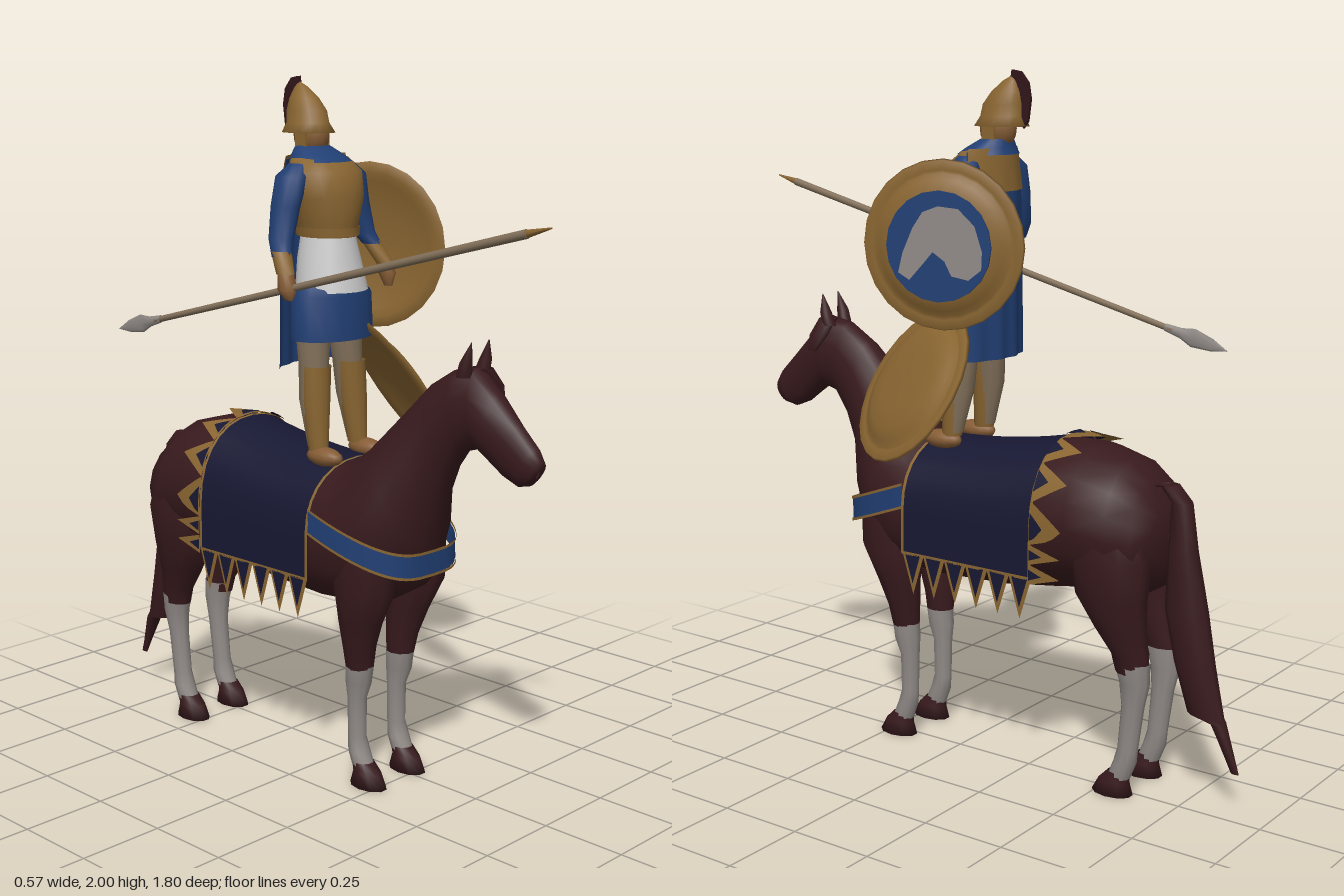
import * as THREE from 'three';

const mat = (name, color) => Object.assign(new THREE.MeshStandardMaterial({ color, side: THREE.DoubleSide }), { name });
const coat = mat('chestnut coat', 0x381a1d), gold = mat('bronze', 0x896531), blue = mat('blue cloth', 0x213f74);
const navy = mat('navy cloth', 0x171832), white = mat('white linen', 0xc8c8c8), sock = mat('pale grey', 0x908a86);
const skin = mat('skin', 0x855c35), wood = mat('spear wood', 0x82705a), crestRed = mat('crest red', 0x321619);
const V = (x, y, z) => new THREE.Vector3(x, y, z);
const CX = -0.06; // centre line of horse and rider

export function createModel() {
  const root = new THREE.Group();
  root.name = 'mountedSpearman';
  const add = (name, geo, material, parent = root) => {
    const m = new THREE.Mesh(geo, material);
    m.name = name;
    parent.add(m);
    return m;
  };

  // surface from a rule fn(u, v), optionally closed in u
  function grid(fn, nu, nv, closed = false) {
    const pos = [], idx = [], w = closed ? nu : nu + 1;
    for (let j = 0; j <= nv; j++) for (let i = 0; i < w; i++) pos.push(...fn(i / nu, j / nv, j).toArray());
    for (let j = 0; j < nv; j++) for (let i = 0; i < nu; i++) {
      const a = j * w + i, b = j * w + (i + 1) % w;
      idx.push(a, b, a + w, b, b + w, a + w);
    }
    const g = new THREE.BufferGeometry();
    g.setAttribute('position', new THREE.Float32BufferAttribute(pos, 3));
    g.setIndex(idx);
    g.computeVertexNormals();
    return g;
  }
  // loft over elliptical rings {c, a, b}
  const loft = (rings, n = 14) => grid((u, v, j) => {
    const r = rings[j], t = u * Math.PI * 2;
    return r.c.clone().addScaledVector(r.a, Math.cos(t)).addScaledVector(r.b, Math.sin(t));
  }, n, rings.length - 1, true);
  // horizontal rings [x, y, z, rx, rz]
  const limb = (rows, n = 10) => loft(rows.map(([x, y, z, rx, rz]) => ({ c: V(x, y, z), a: V(rx, 0, 0), b: V(0, 0, rz) })), n);

  // horse trunk, neck and head: [top z, top y, bottom z, bottom y, half width]
  const stations = [
    [-0.67, 0.76, -0.67, 0.74, 0.01], [-0.665, 0.82, -0.67, 0.68, 0.1], [-0.63, 0.9, -0.65, 0.6, 0.165],
    [-0.56, 0.955, -0.58, 0.56, 0.195], [-0.45, 0.985, -0.45, 0.57, 0.205], [-0.33, 0.985, -0.33, 0.55, 0.2],
    [-0.15, 0.945, -0.15, 0.525, 0.2], [0, 0.92, 0.05, 0.515, 0.2], [0.1, 0.93, 0.2, 0.525, 0.193],
    [0.17, 0.98, 0.33, 0.6, 0.175], [0.23, 1.04, 0.38, 0.72, 0.14], [0.3, 1.11, 0.405, 0.85, 0.098],
    [0.38, 1.19, 0.45, 0.95, 0.075], [0.46, 1.24, 0.5, 1.02, 0.064], [0.54, 1.255, 0.55, 1.035, 0.064],
    [0.61, 1.19, 0.585, 1.01, 0.056], [0.68, 1.12, 0.63, 0.975, 0.04], [0.735, 1.065, 0.68, 0.955, 0.037],
    [0.755, 1.03, 0.715, 0.962, 0.03], [0.745, 1.005, 0.735, 0.985, 0.005]];
  add('horseBody', loft(stations.map(([zt, yt, zb, yb, w]) => ({
    c: V(CX, (yt + yb) / 2, (zt + zb) / 2), a: V(w, 0, 0), b: V(0, (yt - yb) / 2, (zt - zb) / 2),
  })), 18), coat);
  // forelock falling to one side
  add('forelock', limb([[CX + 0.02, 1.25, 0.53, 0.03, 0.03], [CX + 0.058, 1.2, 0.54, 0.02, 0.035], [CX + 0.066, 1.15, 0.56, 0.008, 0.015]], 8), coat);

  for (const s of [-1, 1]) {
    const leg = rows => limb(rows.map(([o, y, z, rx, rz]) => [CX + s * o, y, z, rx, rz]));
    // ears
    add('ear', leg([[0.036, 1.23, 0.515, 0.02, 0.024], [0.04, 1.27, 0.525, 0.018, 0.018], [0.036, 1.325, 0.54, 0.001, 0.001]]), coat);
    // legs
    add('frontLeg', leg([[0.1, 0.74, 0.22, 0.07, 0.11], [0.105, 0.6, 0.22, 0.075, 0.1], [0.098, 0.5, 0.2, 0.06, 0.07],
      [0.09, 0.42, 0.188, 0.047, 0.052], [0.085, 0.35, 0.184, 0.038, 0.043]]), coat);
    add('frontSock', leg([[0.085, 0.36, 0.184, 0.039, 0.045], [0.085, 0.31, 0.18, 0.036, 0.042], [0.083, 0.26, 0.172, 0.027, 0.031],
      [0.083, 0.14, 0.172, 0.026, 0.028], [0.083, 0.1, 0.18, 0.032, 0.032], [0.083, 0.05, 0.2, 0.03, 0.034]]), sock);
    add('hindLeg', leg([[0.1, 0.82, -0.53, 0.08, 0.11], [0.112, 0.7, -0.545, 0.088, 0.125], [0.108, 0.58, -0.55, 0.075, 0.107],
      [0.098, 0.49, -0.575, 0.056, 0.078], [0.09, 0.42, -0.603, 0.043, 0.056], [0.088, 0.37, -0.61, 0.037, 0.05]]), coat);
    add('hindSock', leg([[0.088, 0.4, -0.608, 0.041, 0.055], [0.086, 0.34, -0.617, 0.035, 0.045], [0.083, 0.27, -0.612, 0.028, 0.034],
      [0.083, 0.14, -0.598, 0.027, 0.03], [0.083, 0.1, -0.59, 0.032, 0.034], [0.083, 0.05, -0.57, 0.03, 0.034]]), sock);
    for (const z of [0.212, -0.555])
      add('hoof', leg([[0.083, 0.07, z - 0.016, 0.03, 0.032], [0.083, 0.04, z, 0.036, 0.046], [0.083, 0, z + 0.005, 0.041, 0.063], [0.083, 0, z, 0.001, 0.001]]), coat);
  }
  // tail
  add('tail', limb([[CX, 0.885, -0.6, 0.025, 0.03], [CX, 0.895, -0.665, 0.028, 0.03], [CX, 0.85, -0.705, 0.032, 0.03],
    [CX, 0.72, -0.712, 0.036, 0.043], [CX, 0.55, -0.727, 0.042, 0.065], [CX, 0.4, -0.757, 0.038, 0.062],
    [CX, 0.26, -0.795, 0.03, 0.055], [CX, 0.245, -0.835, 0.025, 0.022], [CX, 0.11, -0.89, 0.004, 0.012]]), coat);

  // saddle blanket draped over the back; s runs over the width, z along the horse
  const drape = (s, z, off = 0) => {
    const k = THREE.MathUtils.clamp((0.1 - z) / 0.45, 0, 1), top = 0.938 + 0.057 * k * k + off;
    const t = Math.min(Math.abs(s) / 0.6, 1), d = Math.max(0, (Math.abs(s) - 0.6) / 0.4), w = 0.21 + off;
    const a = t * Math.PI / 2;
    return V(CX + Math.sign(s) * w * Math.sin(a) ** 0.9, 0.74 + (top - 0.74) * Math.max(Math.cos(a), 0) ** 0.85 - 0.12 * d, z);
  };
  const patch = (s0, s1, z0, z1, off) => grid((u, v) => drape(s0 + (s1 - s0) * u, z0 + (z1 - z0) * v, off), 24, 8);
  add('blanket', patch(-1, 1, 0.1, -0.35, 0), navy);
  add('blanketFrontTrim', patch(-1, 1, 0.102, 0.092, 0.003), gold);
  add('blanketRearTrim', patch(-1, 1, -0.343, -0.352, 0.003), gold);
  const spike = (s, z, ds, dz, ts, tz, off) => grid((u, v) => {
    const k = (u * 2 - 1) * (1 - v);
    return drape(s + ds * k + ts * v, z + dz * k + tz * v, off);
  }, 2, 4);
  for (const side of [-1, 1]) {
    add('blanketSideTrim', patch(side * 0.98, side * 1.01, 0.1, -0.35, 0.003), gold);
    for (let i = 0; i < 6; i++) {
      const z = 0.06 - i * 0.075;
      add('sideFringe', spike(side, z, 0, 0.038, side * 0.4, 0, 0), gold);
      for (const off of [-0.003, 0.003])
        add('sideFringeInset', spike(side, z, 0, 0.027, side * 0.29, 0, off), navy);
    }
  }
  for (let i = -5; i <= 5; i++) {
    add('rearFringe', spike(i * 0.19, -0.35, 0.095, 0, 0, -0.1, 0.006), gold);
    for (const off of [0.002, 0.01])
      add('rearFringeInset', spike(i * 0.19, -0.35, 0.052, 0, 0, -0.042, off), navy);
  }

  // breast strap with metal edges
  const strap = (y0, y1, off) => grid((u, v) => {
    const t = (u - 0.5) * Math.PI, s = Math.sin(t), c = Math.cos(t);
    return V(CX + Math.sign(s) * (0.208 + off) * Math.abs(s) ** 0.6, 0.685 + 0.105 * (1 - c) + y0 + (y1 - y0) * v, 0.1 + (0.282 + off) * c);
  }, 32, 1);
  add('breastStrap', strap(-0.032, 0.032, 0), blue);
  add('strapLowerEdge', strap(-0.038, -0.03, 0.003), gold);
  add('strapUpperEdge', strap(0.03, 0.038, 0.003), gold);

  // rider
  const rider = new THREE.Group();
  rider.name = 'rider';
  root.add(rider);
  const put = (name, rows, m, n = 16) => add(name, limb(rows, n), m, rider);
  put('skirt', [[CX, 1.43, -0.02, 0.11, 0.085], [CX, 1.4, -0.012, 0.134, 0.095], [CX, 1.275, -0.008, 0.139, 0.095]], blue);
  put('tunic', [[CX, 1.58, -0.025, 0.068, 0.08], [CX, 1.5, -0.02, 0.088, 0.092], [CX, 1.41, -0.01, 0.107, 0.1]], white);
  put('breastplate', [[CX, 1.56, -0.025, 0.078, 0.085], [CX, 1.6, -0.025, 0.087, 0.09], [CX, 1.67, -0.025, 0.11, 0.095],
    [CX, 1.74, -0.035, 0.12, 0.088], [CX, 1.775, -0.055, 0.1, 0.06], [CX, 1.79, -0.07, 0.04, 0.04]], gold);
  put('belt', [[CX, 1.587, -0.025, 0.09, 0.094], [CX, 1.563, -0.025, 0.086, 0.094]], gold);
  put('scarf', [[CX, 1.81, -0.085, 0.05, 0.045], [CX, 1.785, -0.065, 0.08, 0.068], [CX, 1.767, -0.055, 0.095, 0.085]], blue);
  put('neck', [[CX, 1.84, -0.085, 0.033, 0.035], [CX, 1.76, -0.07, 0.036, 0.038]], skin);
  const face = add('face', new THREE.SphereGeometry(1, 14, 10), skin, rider);
  face.scale.set(0.045, 0.062, 0.056);
  face.position.set(CX, 1.838, -0.088);

  // helmet, cheek guards and crest
  put('helmet', [[CX, 1.858, -0.103, 0.05, 0.066], [CX, 1.845, -0.1, 0.068, 0.083], [CX, 1.872, -0.103, 0.053, 0.068], [CX, 1.905, -0.107, 0.05, 0.064],
    [CX, 1.94, -0.117, 0.036, 0.047], [CX, 1.97, -0.128, 0.016, 0.022], [CX, 1.985, -0.135, 0.001, 0.001]], gold);
  for (const s of [-1, 1]) {
    const guard = add('cheekGuard', new THREE.BoxGeometry(0.008, 0.06, 0.04), gold, rider);
    guard.position.set(CX + s * 0.044, 1.825, -0.085);
  }
  const crest = new THREE.Shape([[0.13, 1.965], [0.135, 2], [0.165, 1.995], [0.19, 1.965], [0.198, 1.92], [0.19, 1.86], [0.175, 1.84], [0.165, 1.87]]
    .map(([x, y]) => new THREE.Vector2(x, y)));
  const crestMesh = add('crest', new THREE.ExtrudeGeometry(crest, { depth: 0.01, bevelEnabled: false }), crestRed, rider);
  crestMesh.rotation.y = Math.PI / 2;
  crestMesh.position.x = CX - 0.005;

  // cape with a shoulder plate
  const cape = (y0, y1, off) => grid((u, v) => {
    const k = u * 2 - 1, y = y0 + (y1 - y0) * v, d = (1.785 - y) / 0.595;
    return V(CX + k * (0.118 + 0.027 * Math.sqrt(d)), y, -0.115 - 0.012 * Math.min(d * 5, 1) + 0.05 * k * k + 0.004 * Math.cos(k * 12) * d - off);
  }, 24, 8);
  add('cape', cape(1.775, 1.19, 0), blue, rider);
  add('shoulderPlate', cape(1.785, 1.665, 0.005), gold, rider);

  // arms, bracers and hands
  put('rightArm', [[-0.15, 1.765, -0.05, 0.02, 0.03], [-0.175, 1.73, -0.05, 0.04, 0.052], [-0.195, 1.65, -0.055, 0.038, 0.046],
    [-0.218, 1.56, -0.05, 0.034, 0.038], [-0.235, 1.515, -0.03, 0.027, 0.031]], blue, 12);
  put('rightBracer', [[-0.232, 1.53, -0.035, 0.028, 0.031], [-0.248, 1.47, -0.002, 0.024, 0.028]], gold, 10);
  put('rightHand', [[-0.248, 1.475, -0.002, 0.021, 0.025], [-0.255, 1.43, 0.012, 0.026, 0.03], [-0.252, 1.4, 0.015, 0.01, 0.015]], skin, 10);
  put('leftArm', [[0.03, 1.765, -0.05, 0.02, 0.03], [0.055, 1.73, -0.05, 0.04, 0.052], [0.08, 1.65, -0.055, 0.038, 0.046],
    [0.105, 1.56, -0.045, 0.032, 0.038], [0.115, 1.525, -0.02, 0.026, 0.031]], blue, 12);
  put('leftBracer', [[0.114, 1.535, -0.025, 0.026, 0.03], [0.13, 1.47, 0.018, 0.024, 0.027]], gold, 10);
  put('leftHand', [[0.129, 1.475, 0.015, 0.021, 0.024], [0.132, 1.44, 0.027, 0.024, 0.028], [0.132, 1.405, 0.03, 0.01, 0.014]], skin, 10);

  // legs, with greaves in front of the calves, and boots
  for (const s of [-1, 1]) {
    const x = o => CX + s * o;
    put('leg', [[x(0.06), 1.36, -0.025, 0.056, 0.058], [x(0.068), 1.2, -0.015, 0.042, 0.046], [x(0.075), 1.1, -0.012, 0.038, 0.042], [x(0.08), 0.97, 0.008, 0.025, 0.028]], wood, 12);
    put('greave', [[x(0.07), 1.2, 0, 0.042, 0.042], [x(0.075), 1.1, 0.002, 0.041, 0.041], [x(0.08), 0.96, 0.015, 0.028, 0.03]], gold, 12);
    const boot = add('boot', new THREE.SphereGeometry(1, 12, 8), skin, rider);
    boot.scale.set(0.033, 0.028, 0.065);
    boot.position.set(x(0.085), 0.945, 0.045);
  }

  // spear along its own +y, head first
  const butt = V(-0.235, 1.66, 0.9), tip = V(-0.262, 1.24, -0.72), dir = tip.clone().sub(butt), len = dir.length();
  const spear = new THREE.Group();
  spear.name = 'spear';
  spear.position.copy(butt);
  spear.quaternion.setFromUnitVectors(V(0, 1, 0), dir.normalize());
  root.add(spear);
  add('shaft', new THREE.CylinderGeometry(0.009, 0.012, len - 0.25, 8), wood, spear).position.y = (len - 0.1) / 2;
  add('buttSpike', new THREE.CylinderGeometry(0.011, 0.002, 0.08, 8), gold, spear).position.y = 0.04;
  add('spearHead', limb([[0, len - 0.2, 0, 0.009, 0.011], [0, len - 0.15, 0, 0.008, 0.015], [0, len - 0.11, 0, 0.006, 0.027], [0, len - 0.05, 0, 0.004, 0.018], [0, len, 0, 0.001, 0.001]], 8), sock, spear);

  // round shields facing along their own +y
  const shield = (name, pos, normal) => {
    const g = new THREE.Group(), n = normal.normalize();
    const right = V(0, 1, 0).cross(n).normalize(), up = n.clone().cross(right);
    g.name = name;
    g.position.copy(pos);
    g.quaternion.setFromRotationMatrix(new THREE.Matrix4().makeBasis(right, n, up.negate()));
    const profile = [[0, 0.035], [0.1, 0.034], [0.15, 0.03], [0.185, 0.016], [0.2, 0.003], [0.21, 0.006], [0.236, 0.004], [0.24, -0.004], [0.21, -0.008], [0.185, 0.002], [0.1, 0.022], [0, 0.025]];
    add('bowl', new THREE.LatheGeometry(profile.map(([x, y]) => new THREE.Vector2(x, y)), 24), gold, g);
    root.add(g);
    return g;
  };
  const held = shield('heldShield', V(0.112, 1.52, -0.022), V(0.96, 0, -0.28));
  shield('spareShield', V(0.132, 1.117, 0.072), V(0.77, 0.52, 0.36));
  add('paintedDisc', new THREE.CylinderGeometry(0.155, 0.155, 0.006, 20), blue, held).position.y = 0.036;
  const device = new THREE.Shape([[-0.118, -0.075], [-0.105, -0.02], [-0.075, 0.05], [-0.045, 0.095], [0, 0.112], [0.06, 0.106], [0.108, 0.06], [0.13, -0.01], [0.128, -0.06],
    [0.09, -0.09], [0.04, -0.08], [0.02, -0.04], [-0.015, -0.015], [-0.045, -0.05], [-0.085, -0.095]].map(([x, y]) => new THREE.Vector2(x, y)));
  const deviceMesh = add('paintedDevice', new THREE.ShapeGeometry(device), sock, held);
  deviceMesh.rotation.x = -Math.PI / 2;
  deviceMesh.position.y = 0.042;

  return root;
}
